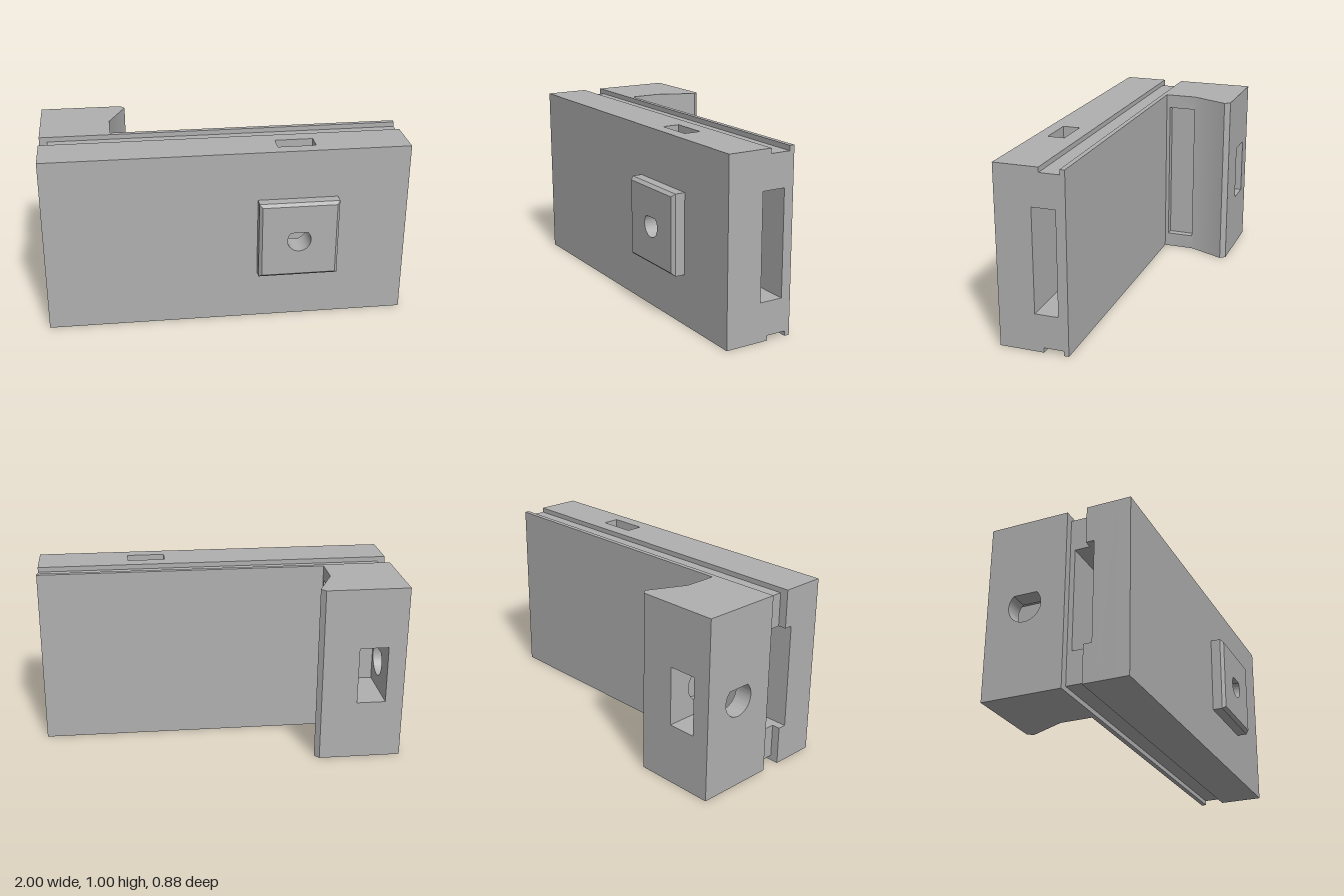
import * as THREE from 'three';
import { mergeGeometries, toCreasedNormals } from 'three/addons/utils/BufferGeometryUtils.js';

// Closed outline from [u, v] points, with optional holes
function poly(points, ...holes) {
  const s = new THREE.Shape(points.map(([u, v]) => new THREE.Vector2(u, v)));
  s.holes.push(...holes);
  return s;
}
const rect = (u0, v0, u1, v1, ...holes) => poly([[u0, v0], [u1, v0], [u1, v1], [u0, v1]], ...holes);

// Round hole with a pointed roof
function teardrop(u, v, r) {
  const s = new THREE.Shape();
  s.moveTo(u, v + r * Math.SQRT2);
  s.absarc(u, v, r, Math.PI * 0.75, Math.PI * 2.25, false);
  s.closePath();
  return s;
}

// Keep bare positions, optionally turning every triangle over
function bare(positions, flip) {
  const p = Float32Array.from(positions);
  if (flip) {
    for (let i = 0; i < p.length; i += 9) {
      for (let k = 3; k < 6; k++) [p[i + k], p[i + k + 3]] = [p[i + k + 3], p[i + k]];
    }
  }
  return new THREE.BufferGeometry().setAttribute('position', new THREE.BufferAttribute(p, 3));
}

// Shape axes: z -> (x, y), x -> (z, y), y -> (x, z)
function orient(g, axis, pos) {
  if (axis === 'x') return g.rotateY(-Math.PI / 2).translate(pos, 0, 0);
  if (axis === 'y') return g.rotateX(Math.PI / 2).translate(0, pos, 0);
  return g.translate(0, 0, pos);
}

// Flat face across an axis, looking along dir (+1 or -1)
function face(shape, axis, pos, dir) {
  const g = new THREE.ShapeGeometry(shape, 24).toNonIndexed();
  const natural = axis === 'z' ? 1 : -1;
  return orient(bare(g.attributes.position.array, dir !== natural), axis, pos);
}

// Side walls of a shape swept from a to b, without end caps
function walls(shape, axis, a, b, inward = false) {
  const g = new THREE.ExtrudeGeometry(shape, { depth: b - a, bevelEnabled: false, curveSegments: 24 });
  const side = g.groups[1];
  const p = g.attributes.position.array.slice(side.start * 3, (side.start + side.count) * 3);
  return orient(bare(p, inward), axis, axis === 'z' ? a : b);
}

// Upright strip of full height between two [x, z] points
function strip([x0, z0], [x1, z1]) {
  return bare([x0, 0, z0, x1, 0, z1, x1, 1, z1, x0, 0, z0, x1, 1, z1, x0, 1, z0]);
}

export function createModel() {
  const group = new THREE.Group();
  const grey = new THREE.MeshStandardMaterial({ color: 0xb0b0b0 });
  grey.name = 'plain grey';
  const add = (name, parts) => {
    const mesh = new THREE.Mesh(toCreasedNormals(mergeGeometries(parts), 0.5), grey);
    mesh.name = name;
    group.add(mesh);
  };

  // Main dimensions
  const back = -0.019, grooveA = 0.008, grooveB = 0.119, slotA = 0.035, slotB = 0.165;
  const trapA = 0.2, trapB = 0.295, front = 0.367;
  const gx = -0.955, gy = 0.027, s0 = 0.213, s1 = 0.79;
  const bx = 0.387, by = 0.502, half = 0.221, small = 0.205;
  const full = () => rect(-1, 0, 1, 1);
  const bolt = () => teardrop(bx, by, 0.065);
  const trap = (...h) => rect(0.28, 0.38, 0.49, 1, ...h);
  const square = (h, ...holes) => rect(bx - h, by - h, bx + h, by + h, ...holes);

  // Body: layers from back to front with a groove, a long slot and a nut trap
  add('body', [
    face(rect(-0.61, 0, 1, 1), 'z', back, -1),
    walls(full(), 'z', back, grooveA),
    face(poly([[-1, 0], [1, 0], [1, gy], [gx, gy], [gx, 1 - gy], [1, 1 - gy], [1, 1], [-1, 1]]), 'z', grooveA, 1),
    walls(rect(gx, gy, 1, 1 - gy), 'z', grooveA, slotA),
    face(rect(gx, s0, 1, s1), 'z', slotA, 1),
    walls(rect(gx, gy, 1, s0), 'z', slotA, grooveB),
    walls(rect(gx, s1, 1, 1 - gy), 'z', slotA, grooveB),
    face(poly([[-1, 0], [1, 0], [1, gy], [gx, gy], [gx, s0], [-1, s0]]), 'z', grooveB, -1),
    face(poly([[-1, 1], [1, 1], [1, 1 - gy], [gx, 1 - gy], [gx, s1], [-1, s1]]), 'z', grooveB, -1),
    walls(rect(-1, 0, 1, s0), 'z', grooveB, slotB),
    walls(rect(-1, s1, 1, 1), 'z', grooveB, slotB),
    face(rect(-1, s0, 1, s1, bolt()), 'z', slotB, -1),
    walls(full(), 'z', slotB, trapA),
    walls(bolt(), 'z', slotB, trapA, true),
    face(trap(bolt()), 'z', trapA, 1),
    walls(poly([[-1, 0], [1, 0], [1, 1], [0.49, 1], [0.49, 0.38], [0.28, 0.38], [0.28, 1], [-1, 1]]), 'z', trapA, trapB),
    face(trap(bolt()), 'z', trapB, -1),
    walls(full(), 'z', trapB, front),
    face(rect(-1, 0, 1, 1, square(half)), 'z', front, 1),
  ]);

  // Square boss with chamfered rim and bolt hole
  const rim = new THREE.CylinderGeometry(small * Math.SQRT2, half * Math.SQRT2, 0.018, 4, 1, true)
    .rotateY(Math.PI / 4).rotateX(Math.PI / 2).translate(bx, by, 0.431).toNonIndexed();
  add('boss', [
    walls(square(half), 'z', front, 0.422),
    bare(rim.attributes.position.array),
    face(square(small, bolt()), 'z', 0.44, 1),
    walls(bolt(), 'z', trapB, 0.44, true),
  ]);

  // Jaw: undercut profile with a shallow inner recess, cross hole and nut pocket
  const jb = -0.44, jx = -0.61, px0 = -0.9, px1 = -0.74, py0 = 0.335, py1 = 0.66, pz = -0.11;
  const profile = () => poly([[jx, back], [jx, -0.2], [-0.515, -0.41], [-0.54, jb], [-1, jb], [-1, back]]);
  const cross = () => teardrop(-0.22, 0.5, 0.093);
  const recess = () => rect(-0.197, 0.085, -0.04, 0.92);
  const pocket = () => rect(px0, py0, px1, py1);
  const pocketEnd = () => rect(jb, py0, pz, py1, cross());
  const pocketFlat = () => rect(px0, jb, px1, pz);
  add('jaw', [
    face(profile(), 'y', 1, 1),
    face(profile(), 'y', 0, -1),
    strip([jx, -0.2], [-0.515, -0.41]),
    strip([-0.515, -0.41], [-0.54, jb]),
    face(rect(-0.2, 0, back, 1, recess()), 'x', jx, 1),
    walls(recess(), 'x', jx - 0.045, jx, true),
    face(recess(), 'x', jx - 0.045, 1),
    face(rect(-1, 0, -0.54, 1, pocket()), 'z', jb, -1),
    face(rect(jb, 0, back, 1, cross()), 'x', -1, -1),
    walls(cross(), 'x', -1, px0, true),
    face(pocketEnd(), 'x', px0, 1),
    face(pocketEnd(), 'x', px1, -1),
    face(pocketFlat(), 'y', py0, 1),
    face(pocketFlat(), 'y', py1, -1),
    face(pocket(), 'z', pz, -1),
    walls(cross(), 'x', px1, -0.69, true),
    face(cross(), 'x', -0.69, -1),
  ]);

  return group;
}
